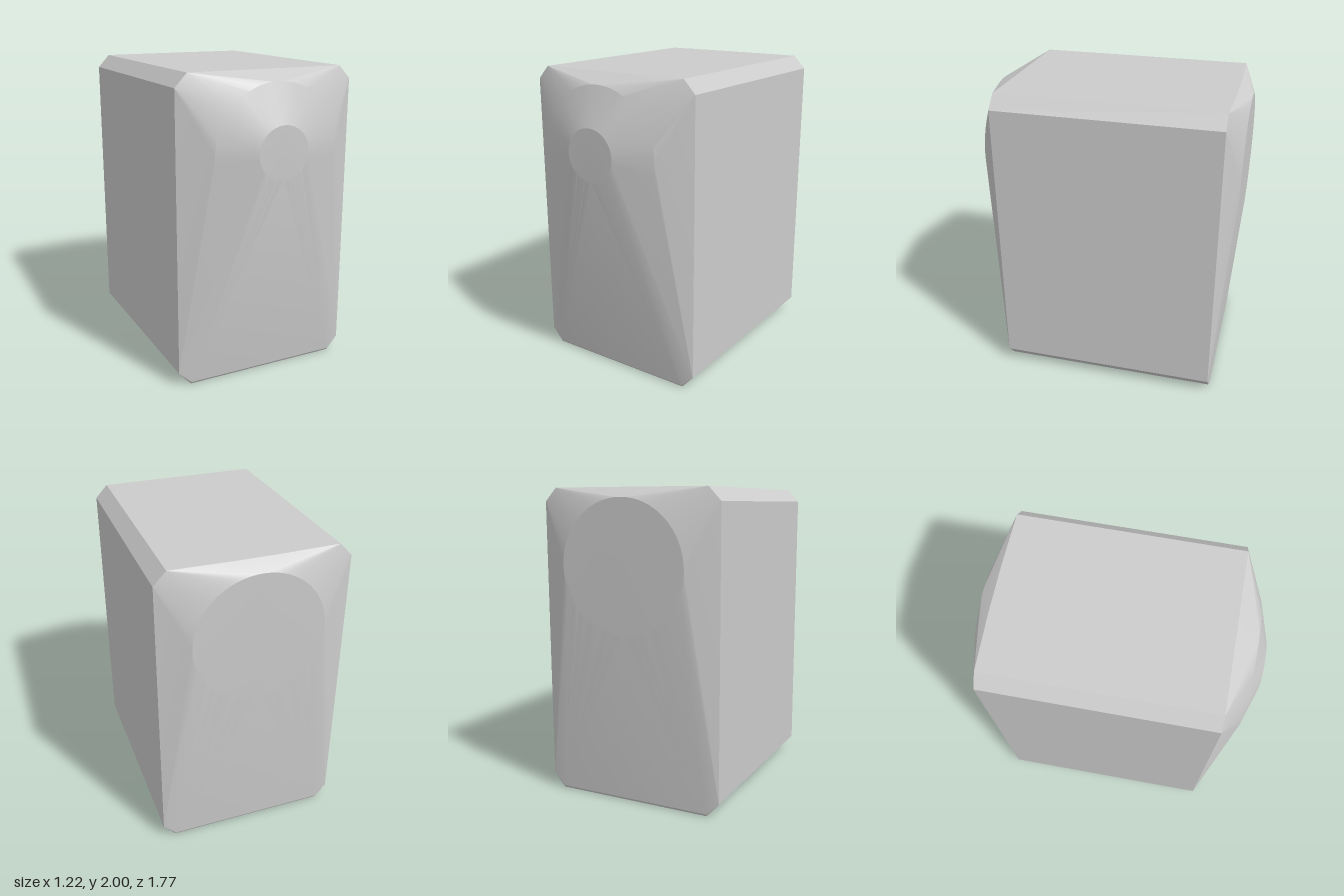
import * as THREE from 'three';
import { ConvexGeometry } from 'three/addons/geometries/ConvexGeometry.js';
import { toCreasedNormals } from 'three/addons/utils/BufferGeometryUtils.js';

const FACE_Y = 1.52; // height of the round end faces

// Points of a circle parallel to the front
function ring(radius, z, segments = 64) {
  return Array.from({ length: segments }, (_, i) => {
    const a = (i / segments) * Math.PI * 2;
    return new THREE.Vector3(radius * Math.sin(a), FACE_Y + radius * Math.cos(a), z);
  });
}

// Chamfered rectangle: the cross-section of the body
function section(z) {
  const points = [];
  for (const s of [-1, 1]) {
    for (const [x, y] of [[0.53, 0], [0.61, 0.09], [0.61, 1.915], [0.53, 2]]) {
      points.push(new THREE.Vector3(s * x, y, z));
    }
  }
  return points;
}

export function createModel() {
  const group = new THREE.Group();
  const points = [
    // straight body
    ...section(0.66), ...section(-0.79),
    // stepped round nose and broad round back
    ...ring(0.42, 0.8), ...ring(0.17, 0.885), ...ring(0.42, -0.885),
  ];
  for (const s of [-1, 1]) {
    // narrow bevels along the bottom ends, slight bow of the top rear edge
    points.push(new THREE.Vector3(s * 0.525, 0.014, 0.67));
    points.push(new THREE.Vector3(s * 0.525, 0.014, -0.797));
    points.push(new THREE.Vector3(s * 0.15, 2, -0.8));
  }
  const body = new THREE.Mesh(
    toCreasedNormals(new ConvexGeometry(points), 0.18),
    new THREE.MeshStandardMaterial({ color: 0xcccccc })
  );
  body.name = 'body';
  group.add(body);
  return group;
}
